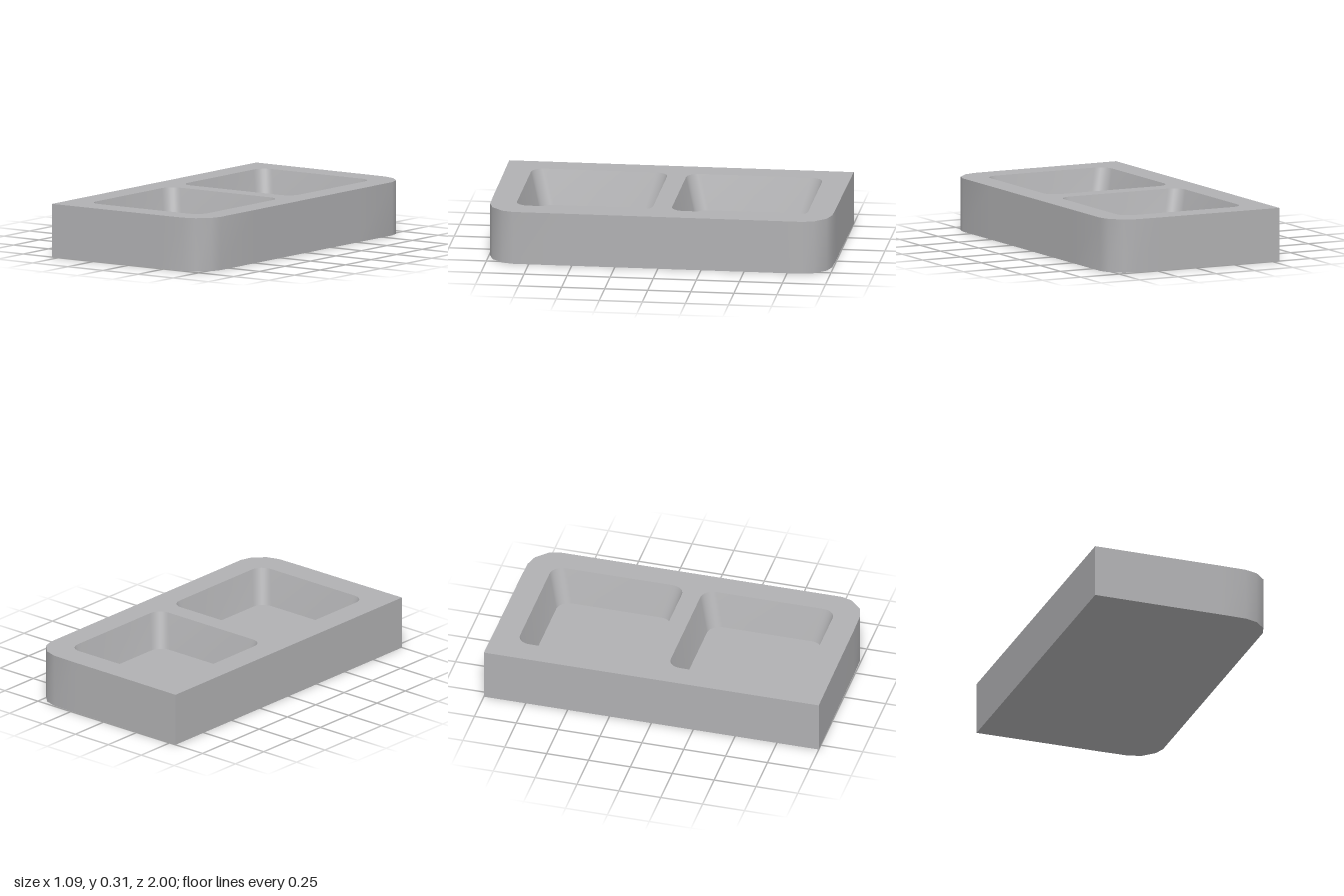
import * as THREE from 'three';
import { toCreasedNormals } from 'three/addons/utils/BufferGeometryUtils.js';

const HEIGHT = 0.31, FLOOR = 0.11;

// Counter-clockwise rounded square, centred at (0, cy)
function roundedSquare(half, radius, cy, steps = 6) {
  const points = [], c = half - radius;
  [[1, 1], [-1, 1], [-1, -1], [1, -1]].forEach(([sx, sy], q) => {
    for (let i = 0; i <= steps; i++) {
      const a = (q + i / steps) * Math.PI / 2;
      points.push(new THREE.Vector2(sx * c + radius * Math.cos(a), cy + sy * c + radius * Math.sin(a)));
    }
  });
  return points;
}

// Wall between two rings with equal point counts; shape y becomes -z
function loft(ringA, yA, ringB, yB) {
  const positions = [];
  const put = (p, y) => positions.push(p.x, y, -p.y);
  ringA.forEach((a, i) => {
    const j = (i + 1) % ringA.length;
    put(a, yA); put(ringA[j], yA); put(ringB[j], yB);
    put(a, yA); put(ringB[j], yB); put(ringB[i], yB);
  });
  const geometry = new THREE.BufferGeometry();
  geometry.setAttribute('position', new THREE.Float32BufferAttribute(positions, 3));
  return toCreasedNormals(geometry, 0.7);
}

// Flat horizontal face, turned up or down
function plate(outline, holes, y, up = true) {
  const shape = new THREE.Shape(outline);
  holes.forEach(h => shape.holes.push(new THREE.Path(h)));
  return new THREE.ShapeGeometry(shape).rotateX(up ? -Math.PI / 2 : Math.PI / 2).translate(0, y, 0);
}

export function createModel() {
  const group = new THREE.Group();
  const grey = new THREE.MeshStandardMaterial({ color: 0xb0b0b2 });
  grey.name = 'grey';
  const add = (name, geometry) => {
    const mesh = new THREE.Mesh(geometry, grey);
    mesh.name = name;
    group.add(mesh);
  };

  // Outline: square corners on one long side, faceted round corners on the other
  const side = [[0.54, 0.5], [0.54, 0.84], [0.52, 0.905], [0.455, 0.97], [0.38, 0.993],
    [0.22, 0.996], [-0.11, 0.997], [-0.545, 1]].map(p => new THREE.Vector2(...p));
  const outline = [...side, ...side.map(p => new THREE.Vector2(p.x, -p.y)).reverse()];

  const centres = [-0.45, 0.45];
  const rims = centres.map(c => roundedSquare(0.395, 0.075, c));

  add('outerWall', loft(outline, 0, outline, HEIGHT));
  add('topFace', plate(outline, rims, HEIGHT));
  add('underside', plate(outline, [], 0, false));

  // Two tapered pockets
  centres.forEach((c, i) => {
    const floor = roundedSquare(0.34, 0.075, c);
    add('pocketWall', loft(rims[i], HEIGHT, floor, FLOOR));
    add('pocketFloor', plate(floor, [], FLOOR));
  });
  return group;
}
